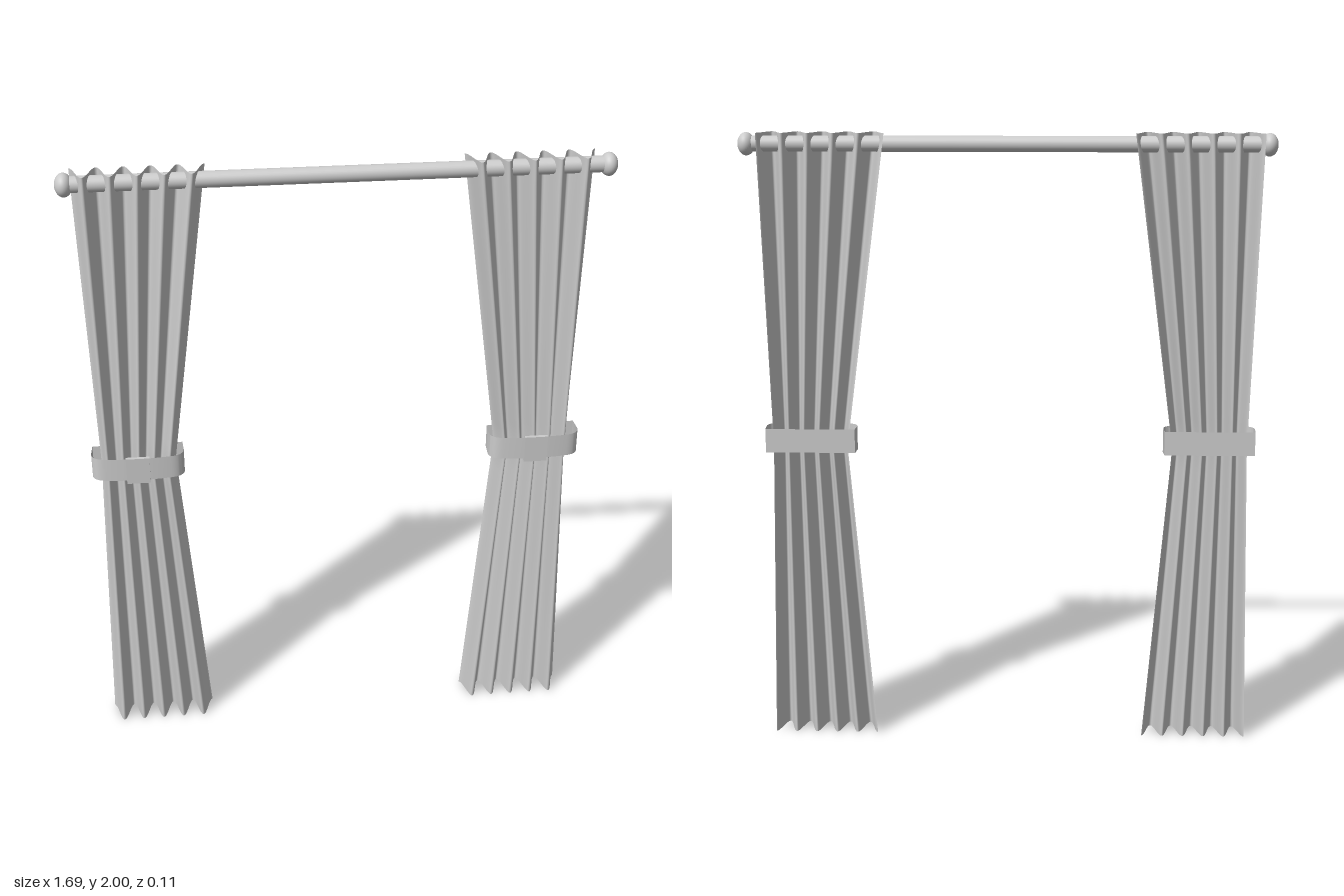
import * as THREE from 'three';
import { toCreasedNormals } from 'three/addons/utils/BufferGeometryUtils.js';

const FOLDS = 5;
const ROD_Y = 1.965, ROD_Z = -0.01;
const MID = -0.01; // the two curtains mirror about this x

const solid = new THREE.MeshStandardMaterial({ color: 0xcccccc });
const cloth = new THREE.MeshStandardMaterial({ color: 0xcccccc, side: THREE.DoubleSide });

function add(parent, name, geometry, material, x = 0, y = 0, z = 0) {
  const mesh = new THREE.Mesh(geometry, material);
  mesh.name = name;
  mesh.position.set(x, y, z);
  parent.add(mesh);
  return mesh;
}

// Distance of the inner and outer edge from the middle, pinched at y = 1
function edges(y) {
  const t = Math.abs(y - 1);
  return { inner: 0.525 - t * (y > 1 ? 0.135 : 0.08), outer: 0.765 + t * 0.025 };
}

// Pleated sheet: a plane bent into waves and gathered at the waist
function drapeGeometry(side) {
  const geo = new THREE.PlaneGeometry(1, 2, FOLDS * 16, 24);
  const pos = geo.attributes.position;
  for (let i = 0; i < pos.count; i++) {
    const u = pos.getX(i) + 0.5;
    const y = pos.getY(i) + 1;
    const { inner, outer } = edges(y);
    const d = side > 0 ? THREE.MathUtils.lerp(inner, outer, u) : THREE.MathUtils.lerp(outer, inner, u);
    const z = -0.0075 - 0.0425 * Math.cos(u * FOLDS * Math.PI * 2);
    pos.setXYZ(i, MID + side * d, y, z);
  }
  geo.computeVertexNormals();
  return geo;
}

// Thin ribbon loop: flat back, rounded front corners, slightly bowed front
function tiebackGeometry() {
  const path = new THREE.Path();
  path.moveTo(-0.145, -0.054);
  path.lineTo(-0.148, -0.005);
  path.quadraticCurveTo(-0.148, 0.03, -0.105, 0.036);
  path.quadraticCurveTo(0, 0.05, 0.105, 0.036);
  path.quadraticCurveTo(0.148, 0.03, 0.148, -0.005);
  path.lineTo(0.145, -0.054);
  path.lineTo(-0.145, -0.054);
  const pts = path.getPoints(10);
  const geo = new THREE.PlaneGeometry(1, 0.078, pts.length - 1, 1);
  const pos = geo.attributes.position;
  for (let i = 0; i < pos.count; i++) {
    const p = pts[i % pts.length];
    pos.setXYZ(i, p.x, pos.getY(i), p.y);
  }
  return toCreasedNormals(geo, 0.7);
}

export function createModel() {
  const model = new THREE.Group();
  model.name = 'curtains';

  // Rod
  const rod = add(model, 'rod', new THREE.CylinderGeometry(0.025, 0.025, 1.62, 32), solid, 0, ROD_Y, ROD_Z);
  rod.rotation.z = Math.PI / 2;

  for (const side of [-1, 1]) {
    const label = side > 0 ? 'left' : 'right';

    // Flattened ball at the rod end
    const finial = add(model, label + 'Finial', new THREE.SphereGeometry(0.036, 32, 20), solid, side * 0.816, ROD_Y - 0.001, ROD_Z);
    finial.scale.x = 0.75;

    // Curtain with its tieback and clasp
    const curtain = new THREE.Group();
    curtain.name = label + 'Curtain';
    model.add(curtain);
    add(curtain, 'drape', drapeGeometry(side), cloth);
    const tieX = MID + side * 0.646;
    add(curtain, 'tieback', tiebackGeometry(), cloth, tieX, 1.017, 0);
    add(curtain, 'clasp', new THREE.BoxGeometry(0.075, 0.09, 0.012), solid, tieX, 1.017, 0.047);
  }
  return model;
}
